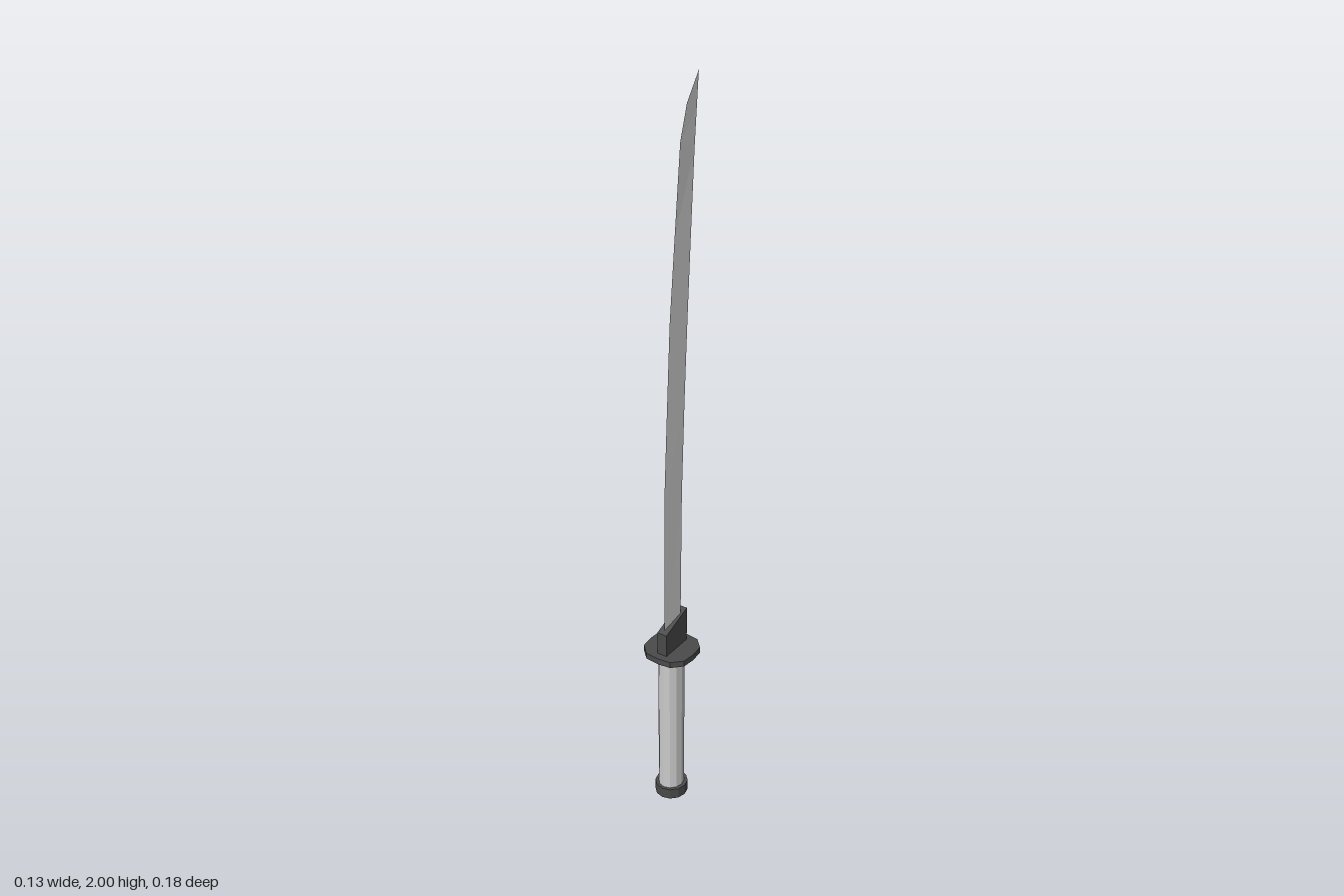
import * as THREE from 'three';

const GRIP_Z = 0.026;

export function createModel() {
  const model = new THREE.Group();
  const grey = new THREE.MeshStandardMaterial({ color: 0xcccccc, flatShading: true });
  const dark = new THREE.MeshStandardMaterial({ color: 0x4a4a4a, flatShading: true });

  const add = (name, geometry, material) => {
    const mesh = new THREE.Mesh(geometry, material);
    mesh.name = name;
    model.add(mesh);
    return mesh;
  };

  // Twelve-sided upright prism, slightly oval
  const prism = (name, rx, rz, y0, y1, material) => {
    const g = new THREE.CylinderGeometry(1, 1, y1 - y0, 12);
    g.scale(rx, 1, rz);
    g.translate(0, (y0 + y1) / 2, GRIP_Z);
    return add(name, g, material);
  };
  prism('pommel', 0.043, 0.045, 0, 0.03, dark);
  prism('handle', 0.033, 0.037, 0.03, 0.455, grey);

  // Guard: rounded square plate with cut corners
  const quarter = [[0.067, 0], [0.063, 0.037], [0.037, 0.063]];
  const outline = [];
  for (let k = 0; k < 4; k++) {
    for (const [x, y] of quarter) {
      outline.push(new THREE.Vector2(x, y).rotateAround(new THREE.Vector2(), k * Math.PI / 2));
    }
  }
  const guard = new THREE.ExtrudeGeometry(new THREE.Shape(outline), { depth: 0.017, bevelEnabled: false });
  guard.rotateX(-Math.PI / 2);
  guard.translate(0, 0.454, 0.023);
  add('guard', guard, dark);

  // Blade collar: block with a slanted top, higher at the spine
  const side = new THREE.Shape([[0.069, 0.465], [0.069, 0.535], [-0.025, 0.57], [-0.025, 0.465]]
    .map(([z, y]) => new THREE.Vector2(-z, y)));
  const collar = new THREE.ExtrudeGeometry(side, { depth: 0.028, bevelEnabled: false });
  collar.translate(0, 0, -0.014);
  collar.rotateY(Math.PI / 2);
  add('bladeCollar', collar, dark);

  // Blade: wedge sections [edge y, edge z, spine y, spine z, half thickness]
  const sections = [
    [0.48, 0.058, 0.48, -0.004, 0.008],
    [0.92, 0.056, 0.92, -0.010, 0.008],
    [1.16, 0.044, 1.18, -0.021, 0.008],
    [1.405, 0.031, 1.40, -0.033, 0.008],
    [1.62, 0.010, 1.60, -0.047, 0.007],
    [1.85, -0.013, 1.82, -0.066, 0.004],
    [1.935, -0.040, 1.91, -0.077, 0.002],
    [2.0, -0.088, 2.0, -0.088, 0],
  ];
  const positions = [];
  const indices = [];
  for (const [ey, ez, sy, sz, t] of sections) {
    positions.push(0, ey, ez, t, sy, sz, -t, sy, sz);
  }
  for (let i = 0; i < sections.length - 1; i++) {
    for (let j = 0; j < 3; j++) {
      const a = i * 3 + j;
      const b = i * 3 + (j + 1) % 3;
      indices.push(a, b, b + 3, a, b + 3, a + 3);
    }
  }
  indices.push(0, 2, 1);
  const blade = new THREE.BufferGeometry();
  blade.setAttribute('position', new THREE.Float32BufferAttribute(positions, 3));
  blade.setIndex(indices);
  blade.computeVertexNormals();
  add('blade', blade, grey);

  return model;
}
